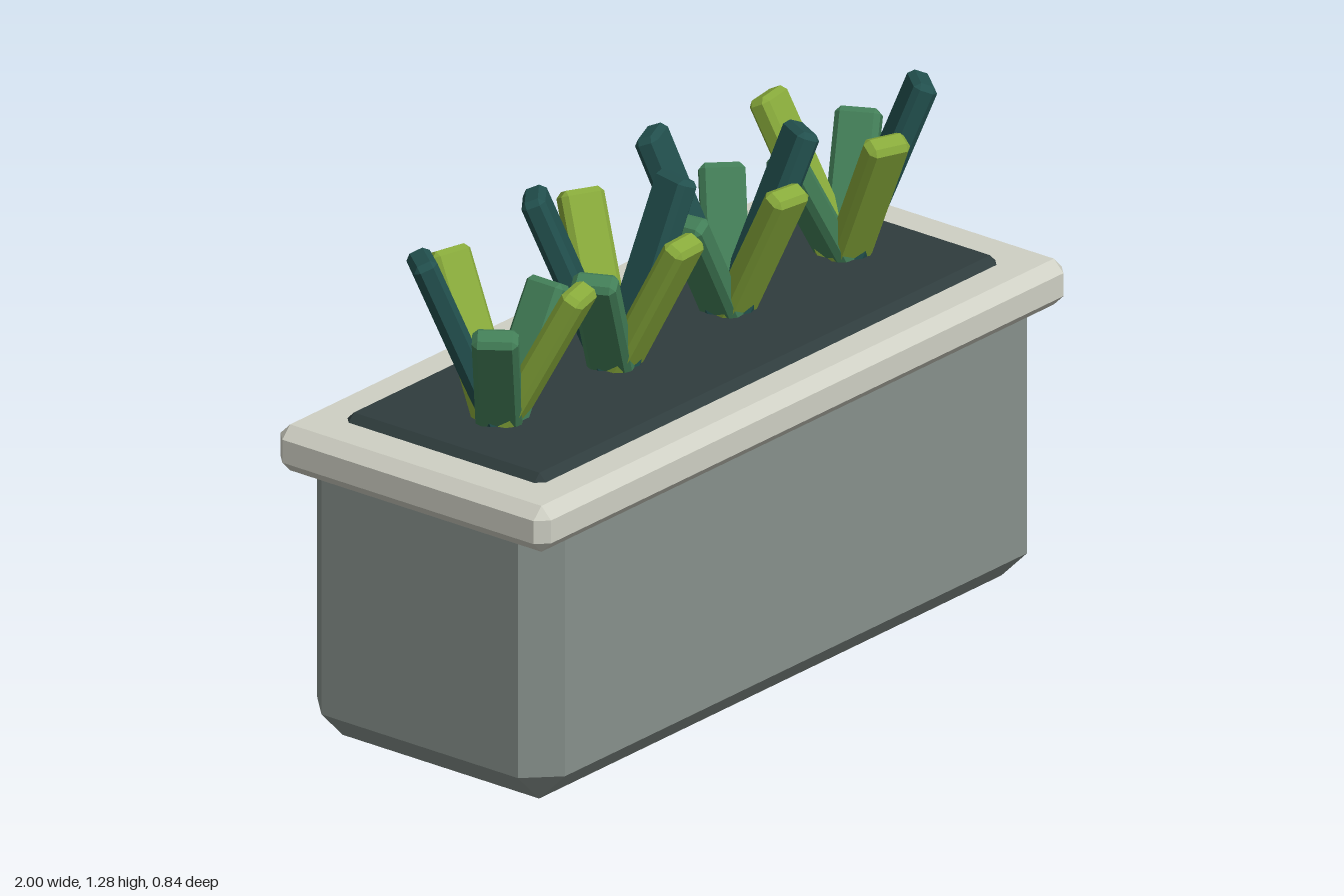
import * as THREE from 'three';
import { ConvexGeometry } from 'three/addons/geometries/ConvexGeometry.js';

// Box with flat bevelled edges, standing on y = 0
function bevelBox(w, h, d, c) {
  const points = [];
  for (const sx of [-1, 1]) for (const sy of [-1, 1]) for (const sz of [-1, 1]) {
    for (let axis = 0; axis < 3; axis++) {
      const inset = [c, c, c];
      inset[axis] = 0;
      points.push(new THREE.Vector3(
        sx * (w / 2 - inset[0]),
        h / 2 + sy * (h / 2 - inset[1]),
        sz * (d / 2 - inset[2])
      ));
    }
  }
  return new ConvexGeometry(points);
}

function material(name, color) {
  const m = new THREE.MeshStandardMaterial({ color, flatShading: true });
  m.name = name;
  return m;
}

export function createModel() {
  const model = new THREE.Group();
  model.name = 'planter';

  const stone = material('grey stone', 0x87918c);
  const pale = material('pale stone', 0xcfd0c4);
  const earth = material('dark soil', 0x2f3c3d);

  function add(name, geometry, mat, y, parent = model) {
    const mesh = new THREE.Mesh(geometry, mat);
    mesh.name = name;
    mesh.position.y = y;
    parent.add(mesh);
    return mesh;
  }

  // Trough, rim and soil
  add('trough', bevelBox(1.91, 0.8, 0.77, 0.08), stone, 0);
  add('rim', bevelBox(2, 0.12, 0.84, 0.03), pale, 0.7);
  add('soil', bevelBox(1.75, 0.07, 0.62, 0.022), earth, 0.77);

  // Three leaf kinds: colour, length and lean in degrees
  const leaf = (name, color, length, lean) => ({
    name, lean,
    mat: material(name, color),
    geometry: bevelBox(0.062, length, 0.112, 0.014)
  });
  const kinds = {
    d: leaf('dark teal leaf', 0x22504e, 0.515, 22.5),
    l: leaf('lime leaf', 0x88aa3b, 0.46, 28),
    g: leaf('green leaf', 0x437f58, 0.385, 30)
  };

  // Plants: five leaves each, angles turn from +x towards +z
  const plants = [
    { x: -0.652, order: 'glgdl', angles: [0, 75, 144, 218, 284] },
    { x: -0.22, order: 'dlgdl', angles: [12, 87, 155, 233, 298] },
    { x: 0.212, order: 'dlgdg', angles: [27, 98, 174, 247, 316] },
    { x: 0.65, order: 'dlglg', angles: [40, 111, 188, 261, 332] }
  ];
  for (const { x, order, angles } of plants) {
    const plant = new THREE.Group();
    plant.name = 'plant';
    plant.position.set(x, 0.8, 0);
    angles.forEach((angle, i) => {
      const kind = kinds[order[i]];
      const mesh = add(kind.name, kind.geometry, kind.mat, 0, plant);
      mesh.rotation.set(0, THREE.MathUtils.degToRad(-angle), THREE.MathUtils.degToRad(-kind.lean), 'YXZ');
    });
    model.add(plant);
  }
  return model;
}
